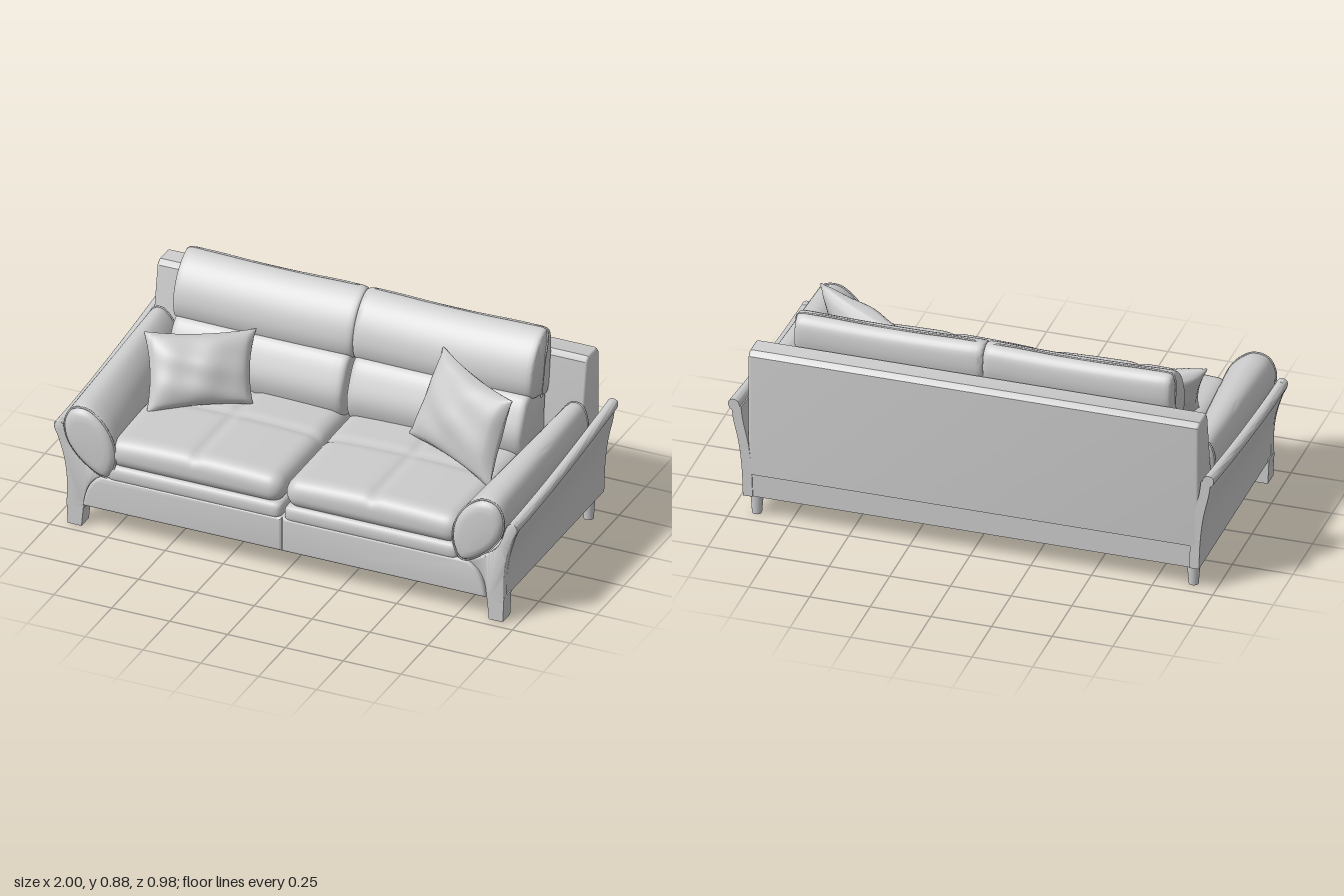
import * as THREE from 'three';
import { mergeVertices, toCreasedNormals } from 'three/addons/utils/BufferGeometryUtils.js';

const V = (x, y, z) => new THREE.Vector3(x, y, z);
const lerp = THREE.MathUtils.lerp;
const CX = -0.01; // middle seam of the cushions

function add(parent, name, geo) {
  const mesh = new THREE.Mesh(geo, new THREE.MeshStandardMaterial({ color: 0xcccccc }));
  mesh.name = name;
  parent.add(mesh);
  return mesh;
}

// Closed smooth outline through a few 2D points
function outline(pts, n = 48) {
  const c = new THREE.CatmullRomCurve3(pts.map(p => V(p[0], p[1], 0)), true, 'centripetal');
  return c.getPoints(n).slice(0, n).map(p => [p.x, p.y]);
}

// Skin over equal rings, capped at both ends, always facing outward
function loft(rings, crease = 0.7) {
  const n = rings[0].length, pos = [], idx = [];
  rings.forEach(r => r.forEach(p => pos.push(p)));
  for (let i = 0; i < rings.length - 1; i++)
    for (let j = 0; j < n; j++) {
      const a = i * n + j, b = i * n + (j + 1) % n;
      idx.push([a, b, b + n], [a, b + n, a + n]);
    }
  [0, rings.length - 1].forEach(k => {
    const mid = V(0, 0, 0);
    rings[k].forEach(p => mid.addScaledVector(p, 1 / n));
    const c = pos.push(mid) - 1;
    for (let j = 0; j < n; j++) {
      const a = k * n + j, b = k * n + (j + 1) % n;
      idx.push(k ? [a, b, c] : [b, a, c]);
    }
  });
  let vol = 0;
  idx.forEach(([a, b, c]) => { vol += pos[a].dot(V(0, 0, 0).crossVectors(pos[b], pos[c])); });
  if (vol < 0) idx.forEach(t => t.reverse());
  const g = new THREE.BufferGeometry().setFromPoints(pos);
  g.setIndex(idx.flat());
  return toCreasedNormals(g, crease);
}

// Weld a geometry and move its vertices by a rule
function deform(geo, rule) {
  geo.deleteAttribute('uv');
  geo.deleteAttribute('normal');
  const g = mergeVertices(geo), p = g.attributes.position, v = V(0, 0, 0);
  for (let i = 0; i < p.count; i++) {
    rule(v.fromBufferAttribute(p, i));
    p.setXYZ(i, v.x, v.y, v.z);
  }
  g.computeVertexNormals();
  return g;
}

// Finely divided box with round edges, then an extra shaping rule
function softBox(w, h, d, r, rule = () => {}) {
  const seg = s => Math.max(6, Math.round(s / 0.018));
  const half = V(w / 2, h / 2, d / 2), lim = half.clone().subScalar(r);
  return deform(new THREE.BoxGeometry(w, h, d, seg(w), seg(h), seg(d)), v => {
    const c = v.clone().clamp(lim.clone().negate(), lim);
    v.sub(c).normalize().multiplyScalar(r).add(c);
    rule(v);
  });
}

function extrude(shape, depth, bevel) {
  const g = new THREE.ExtrudeGeometry(shape, {
    depth, bevelEnabled: bevel > 0, bevelSize: bevel, bevelThickness: bevel,
    bevelOffset: -bevel, bevelSegments: 4, curveSegments: 12 });
  return toCreasedNormals(g, 0.6);
}

function piping(points, closed = false) {
  return new THREE.TubeGeometry(new THREE.CatmullRomCurve3(points, closed), 64, 0.004, 6, closed);
}

// Pillow stretched between four corners, thin at the rim with pulled-in edges
function pillow(bl, br, tl, tr, thick, phase) {
  const n = V(0, 0, 0).crossVectors(br.clone().sub(bl), tl.clone().sub(bl)).normalize();
  return deform(new THREE.BoxGeometry(2, 2, 2, 28, 28, 1), v => {
    const { x: a, y: b, z: s } = v;
    const u = (1 + a * (1 - 0.09 * (1 - b * b))) / 2, w = (1 + b * (1 - 0.1 * (1 - a * a))) / 2;
    const puff = Math.pow((1 - a * a) * (1 - b * b), 0.5);
    const fold = 0.008 * puff * Math.sin(5 * a + 3 * b * s + phase) * Math.cos(4 * b - 2 * a);
    v.copy(bl.clone().lerp(br, u).lerp(tl.clone().lerp(tr, u), w));
    v.addScaledVector(n, s * (0.004 + thick * puff + fold));
  });
}

function buildArm(s) {
  const arm = new THREE.Group();
  arm.name = s > 0 ? 'leftArm' : 'rightArm';
  const zs = Array.from({ length: 17 }, (_, i) => lerp(0.43, -0.49, i / 16));
  const rise = z => Math.pow((0.43 - z) / 0.92, 1.5) * 0.08;

  // Curved outer panel
  const side = new THREE.SplineCurve([[0.94, 0.1], [0.945, 0.2], [0.958, 0.29], [0.98, 0.37], [0.988, 0.42]]
    .map(p => new THREE.Vector2(...p))).getPoints(14);
  add(arm, 'armPanel', loft(zs.map(z => {
    const k = 1 + rise(z) / 0.32;
    const out = side.map(p => V(s * p.x, 0.1 + (p.y - 0.1) * k, z));
    const inn = side.map(p => V(s * (p.x - 0.04), 0.1 + (p.y - 0.1) * k, z)).reverse();
    return out.concat(inn);
  })));

  // Rail along the top of the panel
  const railCut = outline([[0.955, 0.41], [0.99, 0.403], [1, 0.42], [0.998, 0.44], [0.98, 0.449], [0.96, 0.44]], 24);
  add(arm, 'armRail', loft([0.458, ...zs].map(z => railCut.map(([x, y]) => V(s * x, y + rise(Math.min(z, 0.43)), z)))));

  // Front post that flares under the arm cushion
  const post = new THREE.Shape();
  post.moveTo(s * 0.87, 0.08);
  post.lineTo(s * 0.945, 0.08);
  post.splineThru([[0.945, 0.2], [0.957, 0.29], [0.98, 0.37], [1, 0.42], [0.985, 0.45], [0.955, 0.43], [0.92, 0.34], [0.86, 0.28], [0.78, 0.25]]
    .map(p => new THREE.Vector2(s * p[0], p[1])));
  post.splineThru([[0.83, 0.215], [0.86, 0.16], [0.87, 0.08]].map(p => new THREE.Vector2(s * p[0], p[1])));
  add(arm, 'frontPost', extrude(post, 0.025, 0.005)).position.z = 0.43;

  // Front leg
  const foot = (y, a, b) => [V(s * a, y, 0.46), V(s * b, y, 0.46), V(s * b, y, 0.39), V(s * a, y, 0.39)];
  add(arm, 'frontLeg', loft([foot(0, 0.88, 0.94), foot(0.11, 0.87, 0.945)]));

  // Rear leg
  add(arm, 'rearLeg', new THREE.CylinderGeometry(0.028, 0.02, 0.11, 20)).position.set(s * 0.9, 0.055, -0.432);

  // Leaning arm cushion, narrower and higher toward the back
  const cut = outline([[0.765, 0.245], [0.728, 0.31], [0.732, 0.4], [0.78, 0.49], [0.855, 0.542],
    [0.92, 0.53], [0.952, 0.46], [0.935, 0.38], [0.87, 0.3]]);
  const cushionRing = (z, k) => {
    const t = (0.47 - z) / 0.8;
    return cut.map(([x, y]) => {
      const px = lerp(0.85, x, k), py = lerp(0.4, y, k);
      return V(s * (px + t * 0.075 * (0.95 - px) / 0.22), py + 0.042 * t, z);
    });
  };
  const ends = [[0.493, 0.6], [0.49, 0.78], [0.482, 0.88], [0.468, 0.96], [0.445, 1]];
  const body = Array.from({ length: 12 }, (_, i) => [lerp(0.4, -0.29, i / 11), 1]);
  const back = [[-0.315, 0.98], [-0.325, 0.93], [-0.332, 0.82]];
  add(arm, 'armCushion', loft([...ends, ...body, ...back].map(e => cushionRing(...e)), 1));
  add(arm, 'armPiping', piping(cushionRing(0.468, 0.97), true));
  add(arm, 'armBackPiping', piping(cushionRing(-0.315, 0.985), true));
  return arm;
}

function buildSeatAndBack(s) {
  const half = new THREE.Group();
  half.name = s > 0 ? 'leftSeat' : 'rightSeat';
  const mid = CX + s * 0.383;

  // Seat cushion: thin lower band and quilted top
  add(half, 'seatBand', softBox(0.755, 0.075, 0.83, 0.028)).position.set(mid, 0.27, 0.06);
  add(half, 'seatCushion', softBox(0.76, 0.125, 0.83, 0.06, v => {
    if (v.y < 0) return;
    const x = v.x / 0.38, seamZ = Math.exp(-(((v.z - 0.02) / 0.022) ** 2));
    const seamX = Math.exp(-((v.x / 0.018) ** 2));
    v.y += 0.012 * (1 - x * x) - 0.010 * Math.max(seamZ, seamX) * (v.y / 0.06);
  })).position.set(mid, 0.356, 0.06);

  // Back cushion: lower pad and upper head roll, lofted across the width
  const across = (pts, c, w, sag) => {
    const cut = outline(pts);
    const stations = [[-1, 0.86], [-0.992, 0.92], [-0.97, 0.965], [-0.93, 0.99]];
    for (let t = -0.85; t < 0.86; t += 0.17) stations.push([t, 1]);
    stations.push(...stations.slice(0, 4).map(([t, k]) => [-t, k]).reverse());
    return loft(stations.map(([t, k]) => cut.map(([z, y]) => V(
      CX + s * 0.388 + t * w, lerp(c[1], y, 0.35 + 0.65 * k) - sag * (1 - t * t), lerp(c[0], z, k)))), 1);
  };
  add(half, 'lowerBackCushion', across([[-0.18, 0.635], [-0.125, 0.56], [-0.1, 0.48], [-0.13, 0.39],
    [-0.22, 0.36], [-0.32, 0.38], [-0.34, 0.5], [-0.34, 0.61], [-0.26, 0.645]], [-0.24, 0.5], 0.378, 0));
  add(half, 'headRoll', across([[-0.2, 0.622], [-0.18, 0.68], [-0.19, 0.745], [-0.225, 0.81], [-0.275, 0.858], [-0.33, 0.88],
    [-0.372, 0.855], [-0.385, 0.79], [-0.375, 0.72], [-0.345, 0.58], [-0.28, 0.595]], [-0.28, 0.73], 0.388, 0.008));
  const x = CX + s * 0.774;
  add(half, 'headRollPiping', piping([V(x, 0.59, -0.282), V(x, 0.72, -0.31), V(x, 0.868, -0.333),
    V(x - s * 0.05, 0.877, -0.333), V(mid, 0.871, -0.333), V(CX + s * 0.05, 0.877, -0.333), V(CX + s * 0.008, 0.868, -0.333)]));

  // Front rail with a corner that curves in above the post
  const rail = new THREE.Shape();
  rail.moveTo(CX, 0.1);
  rail.lineTo(s * 0.87, 0.1);
  rail.quadraticCurveTo(s * 0.86, 0.22, s * 0.78, 0.25);
  rail.lineTo(CX, 0.25);
  add(half, 'frontRail', extrude(rail, 0.035, 0.012)).position.z = 0.428;
  return half;
}

export function createModel() {
  const sofa = new THREE.Group();
  sofa.name = 'sofa';

  // Base under the seat
  add(sofa, 'base', new THREE.BoxGeometry(1.84, 0.14, 0.92)).position.set(0, 0.17, -0.025);

  // Backrest with a sloping front
  const profile = new THREE.Shape([[-0.49, 0.2], [-0.3, 0.2], [-0.325, 0.45], [-0.372, 0.735], [-0.392, 0.755], [-0.47, 0.755], [-0.49, 0.735]]
    .map(p => new THREE.Vector2(...p)));
  const backrest = extrude(profile, 1.83, 0.015);
  backrest.rotateY(-Math.PI / 2);
  add(sofa, 'backrest', backrest).position.x = 0.915 + CX;

  [1, -1].forEach(s => sofa.add(buildArm(s), buildSeatAndBack(s)));

  // Loose pillows
  add(sofa, 'rightPillow', pillow(V(-0.72, 0.41, 0.2), V(-0.36, 0.425, -0.02),
    V(-0.8, 0.685, 0.05), V(-0.42, 0.67, -0.18), 0.075, 0.5));
  add(sofa, 'leftPillow', pillow(V(0.29, 0.42, -0.07), V(0.75, 0.41, 0.17),
    V(0.38, 0.768, -0.2), V(0.805, 0.77, 0.08), 0.08, 2));
  return sofa;
}
